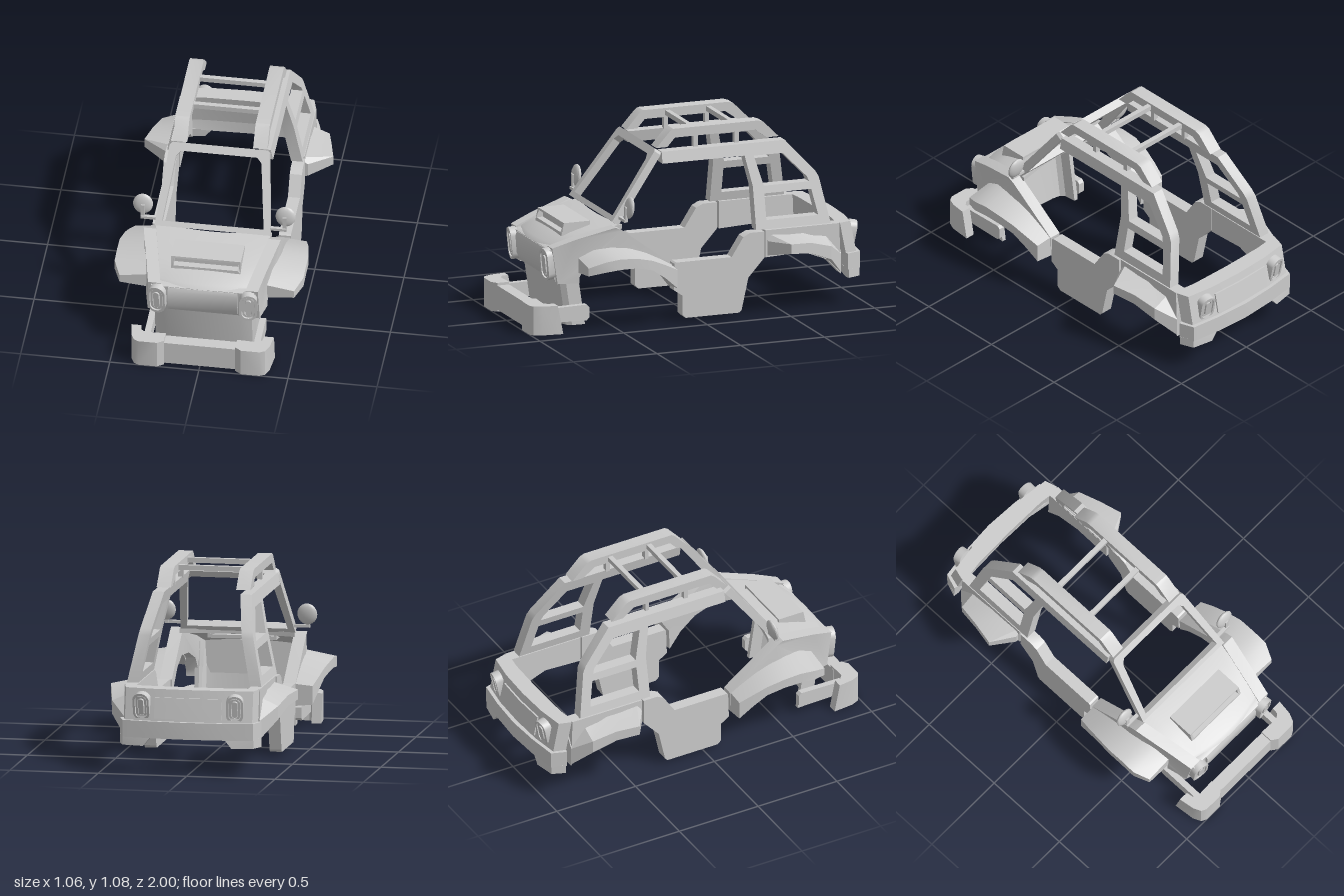
import * as THREE from 'three';
import { toCreasedNormals } from 'three/addons/utils/BufferGeometryUtils.js';

const V = (x, y, z) => new THREE.Vector3(x, y, z);
const poly = pts => new THREE.Shape(pts.map(p => new THREE.Vector2(p[0], p[1])));

// Extrusion with optional holes and steps
function extrude(pts, depth, holes = [], steps = 1) {
  const s = poly(pts);
  s.holes = holes.map(poly);
  return new THREE.ExtrudeGeometry(s, { depth, bevelEnabled: false, steps });
}
// Side profile in (z, y), spanning x0..x1
function side(pts, x0, x1, holes, steps) {
  const m = new THREE.Matrix4().makeBasis(V(0, 0, 1), V(0, 1, 0), V(-1, 0, 0)).setPosition(x1, 0, 0);
  return extrude(pts, x1 - x0, holes, steps).applyMatrix4(m);
}
// Plan outline in (x, z), spanning y0..y1
function plan(pts, y0, y1) {
  const m = new THREE.Matrix4().makeBasis(V(1, 0, 0), V(0, 0, 1), V(0, -1, 0)).setPosition(0, y1, 0);
  return extrude(pts, y1 - y0).applyMatrix4(m);
}
// Adds the mirrored other half to a half outline
const whole = half => half.concat(half.slice().reverse().filter(p => p[0] > 0).map(([x, z]) => [-x, z]));

function box(w, h, d, x, y, z) {
  return new THREE.BoxGeometry(w, h, d).translate(x, y, z);
}
function warp(g, fn) {
  const p = g.attributes.position, v = V(0, 0, 0);
  for (let i = 0; i < p.count; i++) {
    v.fromBufferAttribute(p, i);
    fn(v);
    p.setXYZ(i, v.x, v.y, v.z);
  }
  return g;
}
function mirrored(g) {
  const m = (g.index ? g.toNonIndexed() : g.clone()).scale(-1, 1, 1);
  const p = m.attributes.position, a = V(0, 0, 0), b = V(0, 0, 0);
  for (let i = 0; i < p.count; i += 3) {
    a.fromBufferAttribute(p, i + 1);
    b.fromBufferAttribute(p, i + 2);
    p.setXYZ(i + 1, b.x, b.y, b.z);
    p.setXYZ(i + 2, a.x, a.y, a.z);
  }
  return m;
}
// Four-cornered sections ordered from front to back
function flare(rows, xIn) {
  const pos = [], idx = [];
  for (const [z, xo, outTop, outLow, inTop, inLow] of rows)
    pos.push(xIn, inTop, z, xo, outTop, z, xo, outLow, z, xIn, inLow, z);
  const n = rows.length - 1, e = n * 4;
  for (let i = 0; i < n; i++) for (let k = 0; k < 4; k++) {
    const a = i * 4 + k, b = i * 4 + (k + 1) % 4;
    idx.push(a, b, b + 4, a, b + 4, a + 4);
  }
  idx.push(0, 3, 2, 0, 2, 1, e, e + 1, e + 2, e, e + 2, e + 3);
  const g = new THREE.BufferGeometry();
  g.setAttribute('position', new THREE.Float32BufferAttribute(pos, 3));
  g.setIndex(idx);
  return g;
}
// Upright rounded outline for the lamps
function capsule(w, h) {
  const r = w / 2, pts = [];
  for (let i = 0; i < 24; i++) {
    const a = (i + 0.5) / 24 * Math.PI * 2;
    pts.push([r * Math.cos(a), r * Math.sin(a) + Math.sign(Math.sin(a)) * (h / 2 - r)]);
  }
  return pts;
}

export function createModel() {
  const model = new THREE.Group();
  const mat = new THREE.MeshStandardMaterial({ color: 0xcccccc, side: THREE.DoubleSide });
  function add(name, g) {
    const flat = g.index ? g.toNonIndexed() : g;
    flat.computeVertexNormals();
    const mesh = new THREE.Mesh(toCreasedNormals(flat, 0.5), mat);
    mesh.name = name;
    model.add(mesh);
  }
  function pair(name, g) {
    add(name + 'Left', g);
    add(name + 'Right', mirrored(g));
  }

  // Hood, curved at the cowl and narrowing to the nose
  const hood = side([[0.48, 0.575], [0.6, 0.555], [0.72, 0.522], [0.84, 0.475], [0.86, 0.455],
    [0.83, 0.45], [0.71, 0.5], [0.6, 0.53], [0.48, 0.55]], -1, 1, [], 10);
  add('hood', warp(hood, v => {
    const t = v.x * v.x;
    v.x *= 0.325 - (v.z - 0.48) * 0.13;
    v.z -= 0.04 * t;
  }));
  const rect = (x, y0, y1) => [[-x, y0], [x, y0], [x, y1], [-x, y1]];
  add('hoodScoop', warp(extrude(rect(0.195, 0.505, 0.578), 0.17, [rect(0.18, 0.525, 0.565)]),
    v => { v.z += 0.58 - (v.y > 0.54 && v.z > 0.1 ? 0.015 : 0); }));
  add('scoopBack', box(0.37, 0.045, 0.08, 0, 0.545, 0.67));

  // Nose and the curved apron below it
  add('grille', side([[0.83, 0.465], [0.857, 0.455], [0.85, 0.36], [0.825, 0.275], [0.78, 0.275], [0.79, 0.465]], -0.29, 0.29));
  add('grillePanel', side([[0.86, 0.452], [0.869, 0.43], [0.862, 0.33], [0.84, 0.288], [0.82, 0.288], [0.84, 0.452]], -0.195, 0.195));
  const apron = plan(whole([[0, 0.818], [0.2, 0.81], [0.265, 0.79], [0.285, 0.76], [0.29, 0.685],
    [0.265, 0.685], [0.26, 0.75], [0.24, 0.775], [0.19, 0.785], [0, 0.793]]), 0.015, 0.46);
  add('apron', warp(apron, v => { v.z += 0.15 * (v.y - 0.27); }));

  // Nested lamp rings, front and rear
  function lamp(name, place) {
    [[0.1, 0.185, 0.074, 0.155, 0.045], [0.066, 0.145, 0.042, 0.118, 0.04], [0.032, 0.108, 0, 0, 0.045]].forEach(([w, h, iw, ih, d], i) => {
      pair(name + ['Rim', 'Ring', 'Bulb'][i], place(extrude(capsule(w, h), d, iw ? [capsule(iw, ih)] : [])));
    });
    pair(name + 'Backing', place(extrude(capsule(0.08, 0.16), 0.02)));
  }
  lamp('headlight', g => g.rotateX(0.1).rotateY(0.12).translate(0.253, 0.375, 0.835));
  lamp('tailLight', g => g.scale(0.95, 0.85, 1).rotateX(0.2).rotateY(Math.PI - 0.12).translate(0.26, 0.385, -0.925));

  // Front bumper
  add('frontBumperCentre', plan([[-0.23, 0.905], [0.23, 0.905], [0.23, 0.975], [-0.23, 0.975]], 0.012, 0.15));
  const bumperEnd = plan([[0.2, 0.975], [0.235, 1], [0.34, 1], [0.368, 0.985], [0.388, 0.94], [0.4, 0.84],
    [0.345, 0.84], [0.34, 0.89], [0.315, 0.91], [0.2, 0.905]], 0, 0.165);
  pair('frontBumperEnd', warp(bumperEnd, v => { if (v.z < 0.88) v.z += (v.y - 0.1) * 0.2; }));
  pair('bumperBracket', side([[0.92, 0.13], [0.65, 0.135], [0.635, 0.12], [0.635, 0.06], [0.65, 0.045], [0.92, 0.05]], 0.29, 0.325));

  // Front fenders, tapering in toward the nose
  const wing = side([[0.165, 0.335], [0.46, 0.555], [0.5, 0.575], [0.72, 0.515], [0.85, 0.47], [0.82, 0.265], [0.7, 0.265],
    [0.7, 0.3], [0.66, 0.375], [0.57, 0.42], [0.45, 0.425], [0.33, 0.38], [0.24, 0.305], [0.17, 0.21]], 0.315, 0.385);
  pair('frontFender', warp(wing, v => { v.x -= Math.max(0, v.z - 0.5) * 0.22; }));
  pair('frontFlare', flare([
    [0.705, 0.49, 0.385, 0.34, 0.41, 0.325],
    [0.62, 0.53, 0.42, 0.362, 0.455, 0.39],
    [0.53, 0.53, 0.43, 0.37, 0.47, 0.42],
    [0.43, 0.53, 0.425, 0.37, 0.46, 0.42],
    [0.33, 0.515, 0.4, 0.345, 0.425, 0.375],
    [0.25, 0.5, 0.365, 0.29, 0.385, 0.31],
    [0.17, 0.48, 0.325, 0.22, 0.338, 0.205]], 0.335));

  // Windscreen frame, leaning back
  const screen = extrude([[-0.325, 0], [0.325, 0], [0.28, 0.455], [0.265, 0.47], [-0.265, 0.47], [-0.28, 0.455]], 0.045,
    [[[-0.285, 0.03], [-0.24, 0.395], [-0.215, 0.425], [0.215, 0.425], [0.24, 0.395], [0.285, 0.03]]]);
  add('windscreenFrame', screen.rotateX(-0.635).translate(0, 0.57, 0.462));

  // Mirrors
  pair('mirrorHead', new THREE.SphereGeometry(0.058, 20, 12).scale(0.97, 1.05, 0.35).rotateX(-0.15).translate(0.4, 0.685, 0.425));
  pair('mirrorArm', box(0.1, 0.016, 0.02, 0.36, 0.613, 0.45));
  pair('mirrorPost', box(0.022, 0.085, 0.015, 0.398, 0.65, 0.445));

  // Side cage, leaning in toward the roof
  const cage = side([[0.185, 0.955], [-0.55, 0.955], [-0.715, 0.775], [-0.735, 0.74], [-0.785, 0.48], [-0.34, 0.48], [-0.34, 0.72],
    [-0.305, 0.89], [0.185, 0.89]], 0.315, 0.38, [
    [[-0.36, 0.885], [-0.53, 0.885], [-0.665, 0.745], [-0.675, 0.717], [-0.405, 0.717]],
    [[-0.405, 0.675], [-0.685, 0.675], [-0.715, 0.53], [-0.405, 0.53]]]);
  pair('cageSide', warp(cage, v => { v.x -= (v.y - 0.48) * 0.21; }));

  // Roof rack
  pair('rackRail', side([[0.21, 0.975], [0.13, 1.063], [0.11, 1.076], [-0.4, 1.076], [-0.43, 1.065], [-0.52, 0.975],
    [-0.45, 0.975], [-0.38, 1.025], [0.1, 1.025], [0.145, 0.975]], 0.185, 0.265));
  for (const z of [-0.035, -0.28]) {
    add('rackCrossbar', box(0.39, 0.028, 0.028, 0, 1.05, z));
    pair('rackPost', box(0.03, 0.09, 0.025, 0.223, 0.995, z));
  }

  // Door sills
  pair('doorSill', side([[0.15, 0.335], [0.14, 0.342], [-0.19, 0.342], [-0.26, 0.45], [-0.3, 0.47], [-0.385, 0.47], [-0.385, 0.32],
    [-0.29, 0.215], [-0.25, 0.035], [-0.235, 0.02], [0.085, 0.02], [0.105, 0.04], [0.105, 0.15], [0.155, 0.185]], 0.32, 0.388));

  // Rear fenders
  pair('rearFender', side([[-0.395, 0.475], [-0.835, 0.475], [-0.845, 0.185], [-0.76, 0.275], [-0.62, 0.33], [-0.395, 0.32]], 0.315, 0.383));
  pair('rearFlare', flare([
    [-0.405, 0.4, 0.415, 0.335, 0.455, 0.32],
    [-0.49, 0.53, 0.42, 0.365, 0.45, 0.335],
    [-0.62, 0.5, 0.41, 0.35, 0.45, 0.33],
    [-0.755, 0.47, 0.37, 0.295, 0.43, 0.275],
    [-0.845, 0.385, 0.3, 0.195, 0.38, 0.185]], 0.335));

  // Tail panel with its raised centre
  const lean = v => { v.z += 0.2 * (v.y - 0.3); };
  add('tailPanel', warp(plan(whole([[0, -0.88], [0.25, -0.875], [0.36, -0.86], [0.38, -0.875], [0.36, -0.945], [0.2, -0.968], [0, -0.975]]), 0.29, 0.475), lean));
  add('tailPlate', warp(plan(whole([[0, -0.94], [0.19, -0.94], [0.19, -0.977], [0, -0.985]]), 0.315, 0.43), lean));

  // Rear bumper
  add('rearBumper', plan(whole([[0, -0.9], [0.33, -0.89], [0.365, -0.87], [0.4, -0.88], [0.37, -0.965], [0.2, -0.988], [0, -1]]), 0.205, 0.3));
  const foot = plan([[0.21, -0.9], [0.365, -0.88], [0.4, -0.885], [0.37, -0.962], [0.21, -0.985]], 0.16, 0.21);
  pair('rearBumperFoot', warp(foot, v => { if (v.y < 0.18 && v.x < 0.25) v.x += 0.04; }));

  return model;
}
